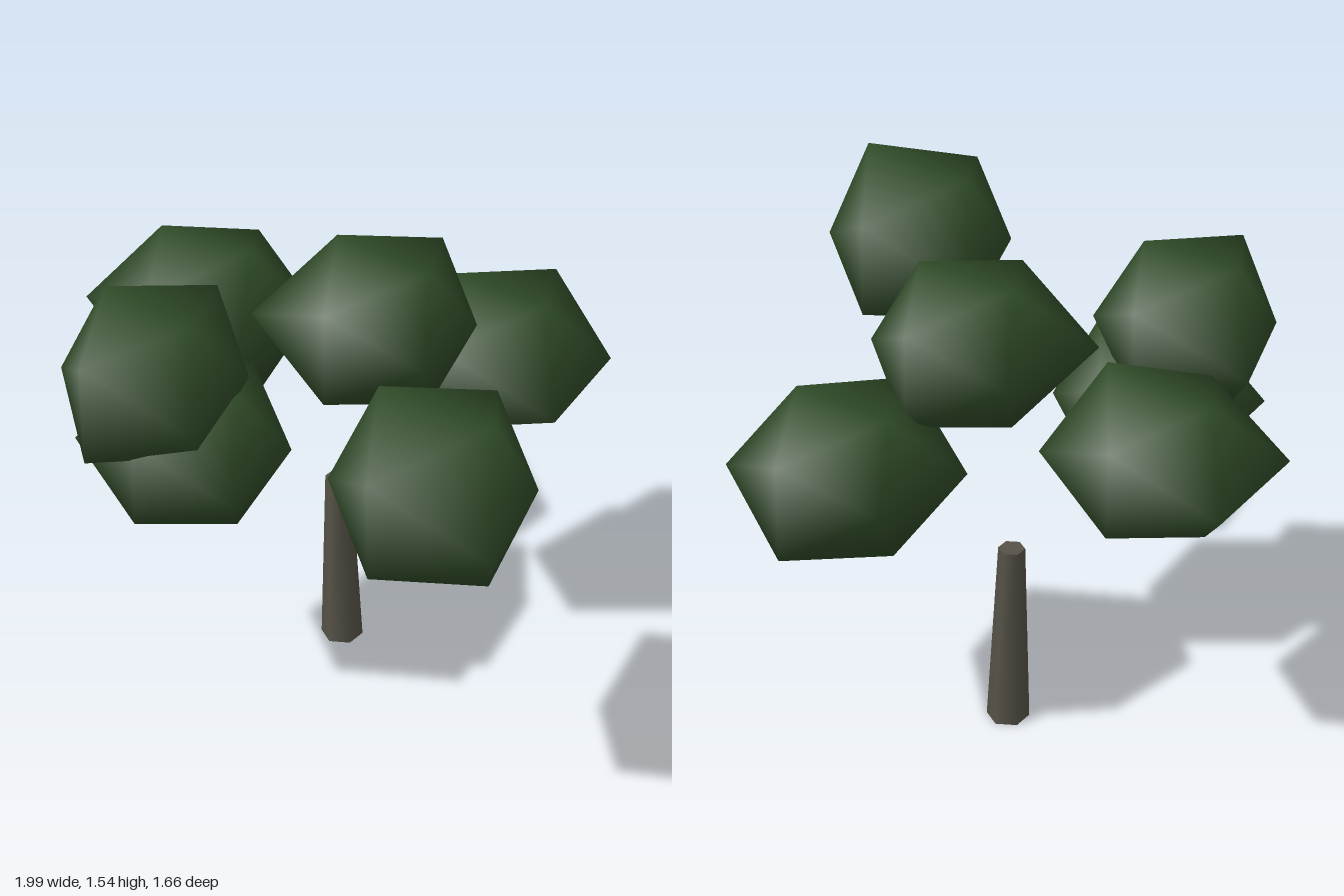
import * as THREE from 'three';
import { mergeVertices } from 'three/addons/utils/BufferGeometryUtils.js';

const leafGreen = new THREE.MeshStandardMaterial({ color: 0x2f4a27 });
leafGreen.name = 'leafGreen';
const barkGrey = new THREE.MeshStandardMaterial({ color: 0x565247 });
barkGrey.name = 'barkGrey';

// Irregular leaf clump: a flattened icosahedron whose corners are pushed in or out.
// Each list holds the factors for sign pairs ++, +-, -+, --.
function leafClump(position, sides, tops, ends) {
  let geo = new THREE.IcosahedronGeometry(1, 0);
  geo.deleteAttribute('normal');
  geo.deleteAttribute('uv');
  geo = mergeVertices(geo);
  const pos = geo.attributes.position;
  const v = new THREE.Vector3();
  const pick = (list, a, b) => list[(a < 0 ? 2 : 0) + (b < 0 ? 1 : 0)];
  for (let i = 0; i < pos.count; i++) {
    v.fromBufferAttribute(pos, i);
    let k;
    if (Math.abs(v.y) < 0.01) k = pick(sides, v.x, v.z);
    else if (Math.abs(v.z) < 0.01) k = pick(tops, v.x, v.y);
    else k = pick(ends, v.y, v.z);
    v.multiplyScalar(k);
    pos.setXYZ(i, v.x * 0.365, v.y * 0.3, v.z * 0.365);
  }
  geo.computeVertexNormals();
  const mesh = new THREE.Mesh(geo, leafGreen);
  mesh.position.set(...position);
  return mesh;
}

export function createModel() {
  const tree = new THREE.Group();
  tree.name = 'tree';

  // Six-sided tapered trunk, leaning slightly forward
  const trunkGeo = new THREE.CylinderGeometry(0.0425, 0.069, 0.635, 6);
  trunkGeo.translate(0, 0.3175, 0);
  const p = trunkGeo.attributes.position;
  for (let i = 0; i < p.count; i++) p.setZ(i, p.getZ(i) + p.getY(i) * 0.025);
  const trunk = new THREE.Mesh(trunkGeo, barkGrey);
  trunk.name = 'trunk';
  trunk.position.set(-0.152, 0, -0.118);
  tree.add(trunk);

  // Floating crown: position, then corner factors for sides, tops and ends
  const clumps = {
    rightLeaves: [[-0.65, 1.13, -0.05], [0.93, 0.98, 1.05, 1.1], [1.0, 1.07, 0.88, 0.87], [0.9, 0.9, 0.9, 0.9]],
    backLeaves: [[0.17, 1.02, -0.52], [1.2, 0.98, 1.02, 0.82], [0.9, 0.7, 0.9, 0.95], [1.05, 1.02, 0.9, 1.02]],
    middleLeaves: [[0.04, 1.3, -0.085], [0.9, 0.78, 1.12, 0.9], [0.88, 0.92, 0.93, 0.93], [0.97, 0.97, 0.97, 0.97]],
    frontUpperLeaves: [[-0.38, 1.25, 0.51], [1.07, 0.8, 0.76, 1.16], [0.87, 0.92, 0.92, 0.92], [1.02, 1.0, 1.02, 0.95]],
    frontLowerLeaves: [[-0.3, 0.98, 0.43], [1.0, 0.83, 1.0, 0.9], [0.95, 0.88, 0.9, 0.85], [0.9, 0.95, 0.9, 0.92]],
    leftLeaves: [[0.635, 1.245, 0.475], [1.17, 0.82, 0.82, 1.17], [1.08, 1.05, 1.0, 0.98], [1.02, 1.0, 0.98, 1.0]],
  };
  for (const [name, spec] of Object.entries(clumps)) {
    const clump = leafClump(...spec);
    clump.name = name;
    tree.add(clump);
  }
  return tree;
}
